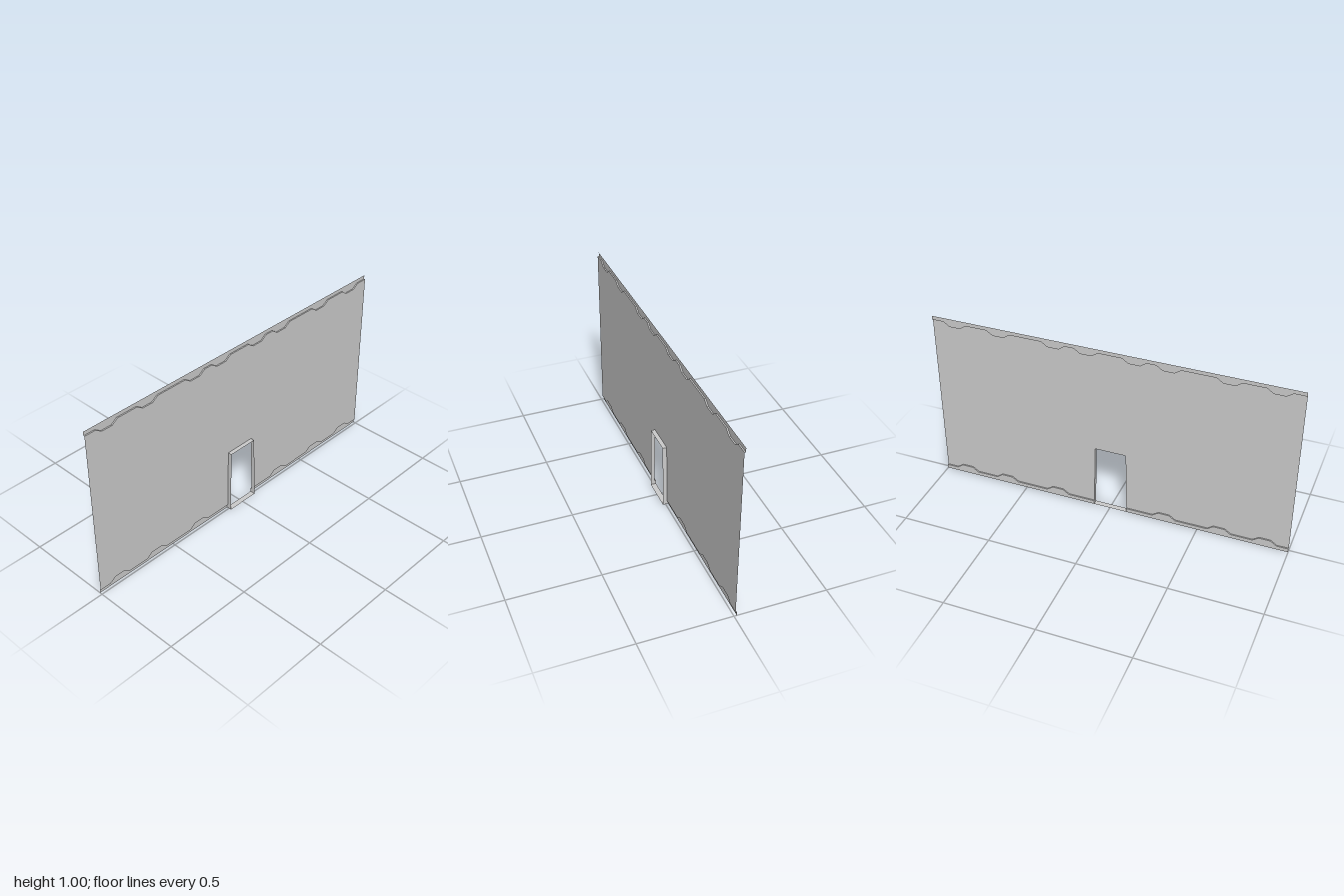
import * as THREE from 'three';

const FRONT = 0.015, WALL = -0.008, BACK = -0.015;
const DOOR_TOP = 0.375, EDGE = 0.022, NOTCH = 0.046;
const jambX = (y) => 0.094 - 0.0187 * y;

export function createModel() {
  const group = new THREE.Group();
  const material = new THREE.MeshStandardMaterial({
    color: 0xcccccc, side: THREE.DoubleSide, flatShading: true,
  });

  const add = (name, geometry) => {
    const mesh = new THREE.Mesh(geometry, material);
    mesh.name = name;
    group.add(mesh);
  };

  // Flat panel at depth z
  const panel = (name, points, z) => {
    const shape = new THREE.Shape(points.map(([x, y]) => new THREE.Vector2(x, y)));
    add(name, new THREE.ShapeGeometry(shape).translate(0, 0, z));
  };

  // Strip that carries a line of [x, y] points from depth z0 to z1
  const strip = (name, points, z0, z1) => {
    const pos = [], index = [];
    points.forEach(([x, y], i) => {
      pos.push(x, y, z0, x, y, z1);
      if (i) {
        const a = 2 * i - 2;
        index.push(a, a + 1, a + 2, a + 2, a + 1, a + 3);
      }
    });
    const g = new THREE.BufferGeometry();
    g.setAttribute('position', new THREE.Float32BufferAttribute(pos, 3));
    g.setIndex(index);
    g.computeVertexNormals();
    add(name, g);
  };

  // Chipped edge: trapezoid notches of the given centres, running left to right
  const chipped = (x0, x1, centres) => [
    [x0, EDGE],
    ...centres.flatMap((c) => [
      [c - 0.065, EDGE], [c - 0.031, NOTCH], [c + 0.031, NOTCH], [c + 0.065, EDGE],
    ]),
    [x1, EDGE],
  ];
  const mirror = (points) => points.map(([x, y]) => [-x, y]).reverse();

  const top = chipped(-1, 1, [-0.87, -0.62, -0.31, -0.13, 0.13, 0.31, 0.62, 0.87])
    .map(([x, y]) => [x, 1 - y]);
  const bottomRight = chipped(jambX(EDGE), 1, [0.31, 0.62, 0.87]);
  const bottomLeft = mirror(bottomRight);
  const dx = jambX(DOOR_TOP);

  // Main wall face with the doorway cut out
  panel('wall', [
    ...bottomLeft, [-dx, DOOR_TOP], [dx, DOOR_TOP], ...bottomRight, ...[...top].reverse(),
  ], WALL);

  // Recessed bands along the top and bottom, with their ledges
  panel('topBand', [...top, [1, 1], [-1, 1]], BACK);
  strip('topLedge', top, WALL, BACK);
  const base = [[1, 0], [jambX(0), 0]];
  panel('bottomBandLeft', [...bottomRight, ...base], BACK);
  panel('bottomBandRight', [...bottomLeft, ...mirror(base)], BACK);
  strip('bottomLedgeLeft', bottomRight, WALL, BACK);
  strip('bottomLedgeRight', bottomLeft, WALL, BACK);

  // Doorway lining: jambs and lintel, foot returns to the band, sill
  const b = jambX(0);
  strip('doorLining', [[-b, 0], [-dx, DOOR_TOP], [dx, DOOR_TOP], [b, 0]], FRONT, WALL);
  for (const s of [1, -1]) {
    strip(s > 0 ? 'jambFootLeft' : 'jambFootRight',
      [[s * b, 0], [s * jambX(EDGE), EDGE]], WALL, BACK);
  }
  strip('doorSill', [[-b, 0], [b, 0]], FRONT, BACK);

  return group;
}
